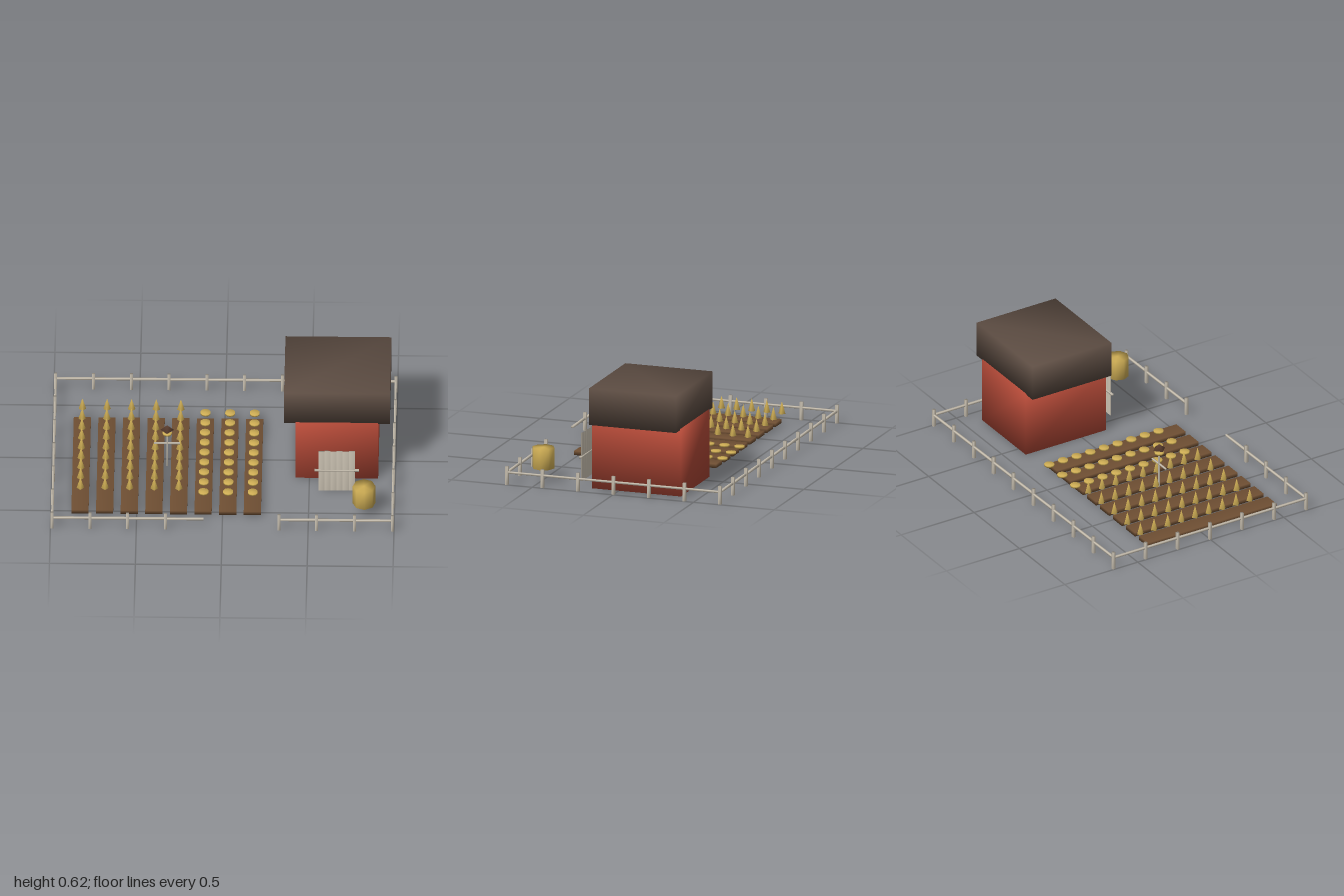
import * as THREE from 'three';
import { mergeVertices } from 'three/addons/utils/BufferGeometryUtils.js';

const mat = (name, color) => {
  const m = new THREE.MeshStandardMaterial({ color });
  m.name = name;
  return m;
};

// Share corner vertices so the shading rolls softly over the edges
function soften(geometry) {
  geometry.deleteAttribute('uv');
  geometry.deleteAttribute('normal');
  const g = mergeVertices(geometry, 1e-5);
  g.computeVertexNormals();
  return g;
}
const box = (w, h, d) => soften(new THREE.BoxGeometry(w, h, d));

export function createModel() {
  const farm = new THREE.Group();
  farm.name = 'farm';

  const red = mat('barn red', 0xb54a38);
  const roofBrown = mat('roof brown', 0x5c4c42);
  const soil = mat('soil brown', 0x6f4f33);
  const wood = mat('pale wood', 0xcdc4b4);
  const straw = mat('straw yellow', 0xcfae55);
  const hatBrown = mat('hat brown', 0x5e4030);

  const add = (parent, name, geometry, material, x, y, z) => {
    const m = new THREE.Mesh(geometry, material);
    m.name = name;
    m.position.set(x, y, z);
    parent.add(m);
    return m;
  };
  const group = (name) => {
    const g = new THREE.Group();
    g.name = name;
    farm.add(g);
    return g;
  };

  // Barn with a blocky overhanging roof
  const barn = group('barn');
  add(barn, 'barnWalls', box(0.48, 0.405, 0.55), red, 0.66, 0.2025, -0.11);
  add(barn, 'barnRoof', box(0.616, 0.22, 0.54), roofBrown, 0.66, 0.508, -0.11);

  // Freestanding plank door with a cross bar
  const door = group('door');
  const planks = 6, plankW = 0.212 / planks;
  for (let i = 0; i < planks; i++) {
    const h = 0.284 + (i % 2) * 0.004;
    add(door, 'doorPlank', box(plankW, h, 0.006), wood,
      0.554 + plankW * (i + 0.5), h / 2, 0.28);
  }
  add(door, 'doorBar', box(0.26, 0.01, 0.012), wood, 0.66, 0.147, 0.28);

  // Hay bale
  add(farm, 'hayBale', soften(new THREE.CylinderGeometry(0.066, 0.066, 0.125, 8)),
    straw, 0.823, 0.1375, 0.495).rotation.y = 0.05;

  // Soil beds; tall crops on the first five, flat ones on the other three
  const beds = group('beds');
  const bedGeo = box(0.1, 0.025, 0.88);
  const tallGeo = soften(new THREE.ConeGeometry(0.022, 0.075, 4));
  const flatGeo = soften(new THREE.CylinderGeometry(0.03, 0.03, 0.011, 10));
  for (let row = 0; row < 8; row++) {
    const x = -0.83 + row * 0.1433;
    add(beds, 'bed', bedGeo, soil, x, 0.0135, 0.085);
    for (let i = 0; i < 9; i++) {
      const z = -0.377 + i * 0.0936;
      if (row < 5) add(beds, 'tallCrop', tallGeo, straw, x, 0.1095, z);
      else add(beds, 'flatCrop', flatGeo, straw, x, 0.05, z);
    }
  }

  // Scarecrow
  const scarecrow = group('scarecrow');
  scarecrow.position.set(-0.33, 0, 0.063);
  add(scarecrow, 'scarecrowPost', box(0.009, 0.225, 0.009), wood, 0, 0.1125, 0);
  add(scarecrow, 'scarecrowArms', box(0.15, 0.009, 0.009), wood, 0, 0.166, 0);
  add(scarecrow, 'scarecrowHead', soften(new THREE.CylinderGeometry(0.028, 0.028, 0.011, 8)),
    straw, 0, 0.24, 0);
  add(scarecrow, 'scarecrowHat', soften(new THREE.ConeGeometry(0.04, 0.034, 4)),
    hatBrown, 0, 0.281, 0);

  // Fence: posts every 0.22, front side open between x = -0.11 and 0.33
  const fence = group('fence');
  const X = 0.99, Z = 0.66, step = 0.22;
  const postGeo = box(0.017, 0.11, 0.017);
  const post = (x, z) => add(fence, 'fencePost', postGeo, wood, x, 0.055, z);
  const railX = (x0, x1, z) =>
    add(fence, 'fenceRail', box(x1 - x0, 0.012, 0.012), wood, (x0 + x1) / 2, 0.074, z);
  for (let i = 0; i < 10; i++) {
    const x = -X + i * step;
    post(x, -Z);
    if (i < 4 || i > 5) post(x, Z);
    if (i < 9) railX(x, x + step, -Z);
    if (i < 4 || (i > 5 && i < 9)) railX(x, x + step, Z);
  }
  for (const x of [-X, X]) {
    for (let i = 0; i < 6; i++) {
      const z = -Z + i * step;
      if (i > 0) post(x, z);
      add(fence, 'fenceRail', box(0.012, 0.012, step), wood, x, 0.074, z + step / 2);
    }
  }

  return farm;
}
